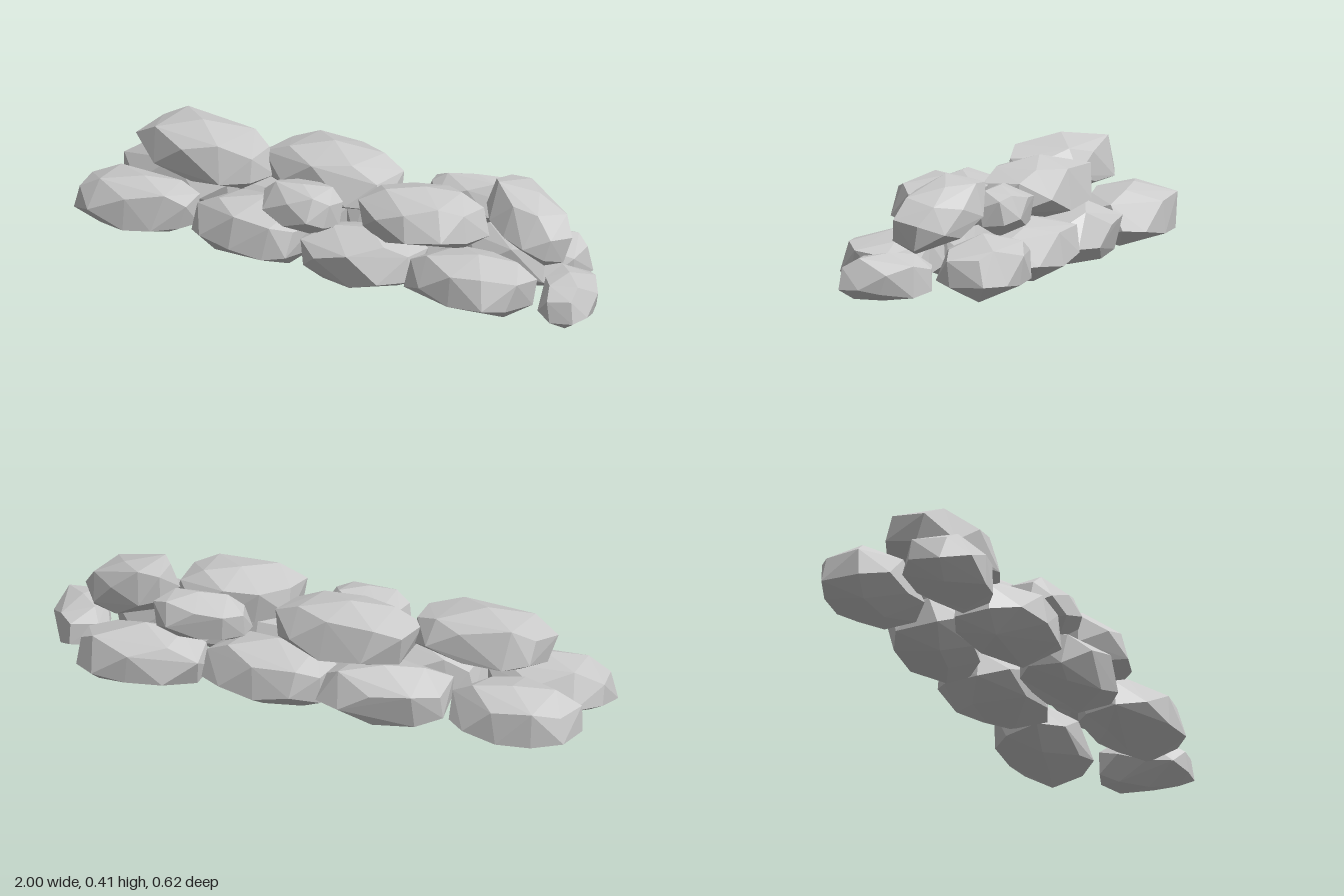
import * as THREE from 'three';
import { ConvexGeometry } from 'three/addons/geometries/ConvexGeometry.js';

// Small seeded generator so that every stone keeps its own shape
function seeded(seed) {
  let s = seed * 7919 + 13;
  return () => {
    s = (s * 16807) % 2147483647;
    return s / 2147483647;
  };
}

// Cross-sections along a stone's long axis: [position, radius, corners]
const SECTIONS = [[-1, 0.6, 4], [-0.6, 0.95, 5], [0.05, 1.03, 6], [0.63, 0.93, 5], [1, 0.58, 4]];

// Chipped convex stone, turned by yaw and roll and fitted to the box x0..x1, y0..y1, z0..z1.
// Squareness 2 gives a round cross-section, higher values a blocky one.
function stoneGeometry(seed, [x0, x1, y0, y1, z0, z1], yaw, roll, squareness) {
  const rand = seeded(seed);
  for (let i = 0; i < 5; i++) rand();
  const jitter = (amount) => (rand() - 0.5) * amount;
  const points = [];
  const lean = jitter(0.2);
  SECTIONS.forEach(([along, radius, corners], k) => {
    const start = Math.PI / 4 + k * 0.4 + jitter(0.5);
    for (let i = 0; i < corners; i++) {
      const a = start + (i / corners) * Math.PI * 2 + jitter(0.35);
      const c = Math.cos(a);
      const s = Math.sin(a);
      const norm = Math.abs(c) ** squareness + Math.abs(s) ** squareness;
      const r = radius * (1 + jitter(0.12)) * norm ** (-1 / squareness);
      points.push(new THREE.Vector3((along + jitter(0.14) + s * r * lean) * 1.7, s * r * 0.85, c * r));
    }
  });
  const turn = new THREE.Euler(0, yaw, roll, 'ZYX');
  points.forEach((p) => p.applyEuler(turn));

  const box = new THREE.Box3().setFromPoints(points);
  const size = box.getSize(new THREE.Vector3());
  const target = new THREE.Vector3(x1 - x0, y1 - y0, z1 - z0);
  const origin = new THREE.Vector3(x0, y0, z0);
  points.forEach((p) => p.sub(box.min).divide(size).multiply(target).add(origin));
  return new ConvexGeometry(points);
}

// [name, bounds, yaw, roll, squareness]
const STONES = [
  // Lower course, front row
  ['lowerFrontStone1', [-1.0, -0.56, 0.01, 0.21, 0.03, 0.3], 0.06, 0, 2.6],
  ['lowerFrontStone2', [-0.55, -0.1, 0.0, 0.22, 0.0, 0.3], -0.1, 0, 2.3],
  ['lowerFrontStone3', [-0.1, 0.34, 0.0, 0.22, 0.01, 0.3], 0.08, 0, 2.6],
  ['lowerFrontStone4', [0.33, 0.79, 0.01, 0.22, 0.03, 0.31], -0.04, 0, 2.8],
  // Lower course, back row
  ['lowerBackStone1', [-1.0, -0.56, 0.0, 0.22, -0.275, 0.0], -0.05, 0, 3],
  ['lowerBackStone2', [-0.53, -0.09, 0.01, 0.22, -0.275, 0.02], 0.1, 0, 2.5],
  ['lowerBackStone3', [-0.1, 0.35, 0.0, 0.22, -0.275, 0.02], -0.08, 0, 2.5],
  ['lowerBackStone4', [0.34, 0.79, 0.0, 0.22, -0.31, -0.03], 0.05, 0, 2.3],
  // Stone lying across the end
  ['endStone', [0.77, 1.0, 0.02, 0.185, -0.1, 0.21], -1.2, 0, 3],
  // Upper course
  ['upperStone1', [-0.84, -0.34, 0.19, 0.4, -0.11, 0.18], -0.1, 0, 2.6],
  ['upperStone2', [-0.39, 0.12, 0.17, 0.39, -0.22, 0.09], -0.1, 0, 2.6],
  ['upperStone3', [0.12, 0.54, 0.18, 0.375, -0.06, 0.26], 0.08, 0, 2.5],
  ['upperStone4', [0.49, 0.84, 0.165, 0.415, -0.17, 0.1], -0.3, -0.3, 2.4],
  // Small filler stones
  ['fillerStoneFront', [-0.26, 0.03, 0.16, 0.33, 0.08, 0.28], -0.1, 0, 2.4],
  ['fillerStoneBack', [0.2, 0.52, 0.18, 0.36, -0.25, -0.05], 0.15, 0, 2.4],
];

export function createModel() {
  const group = new THREE.Group();
  group.name = 'stoneWall';
  const material = new THREE.MeshStandardMaterial({ color: 0xcccccc, flatShading: true });
  STONES.forEach(([name, bounds, yaw, roll, squareness], i) => {
    const mesh = new THREE.Mesh(stoneGeometry(i + 1, bounds, yaw, roll, squareness), material);
    mesh.name = name;
    group.add(mesh);
  });
  return group;
}
